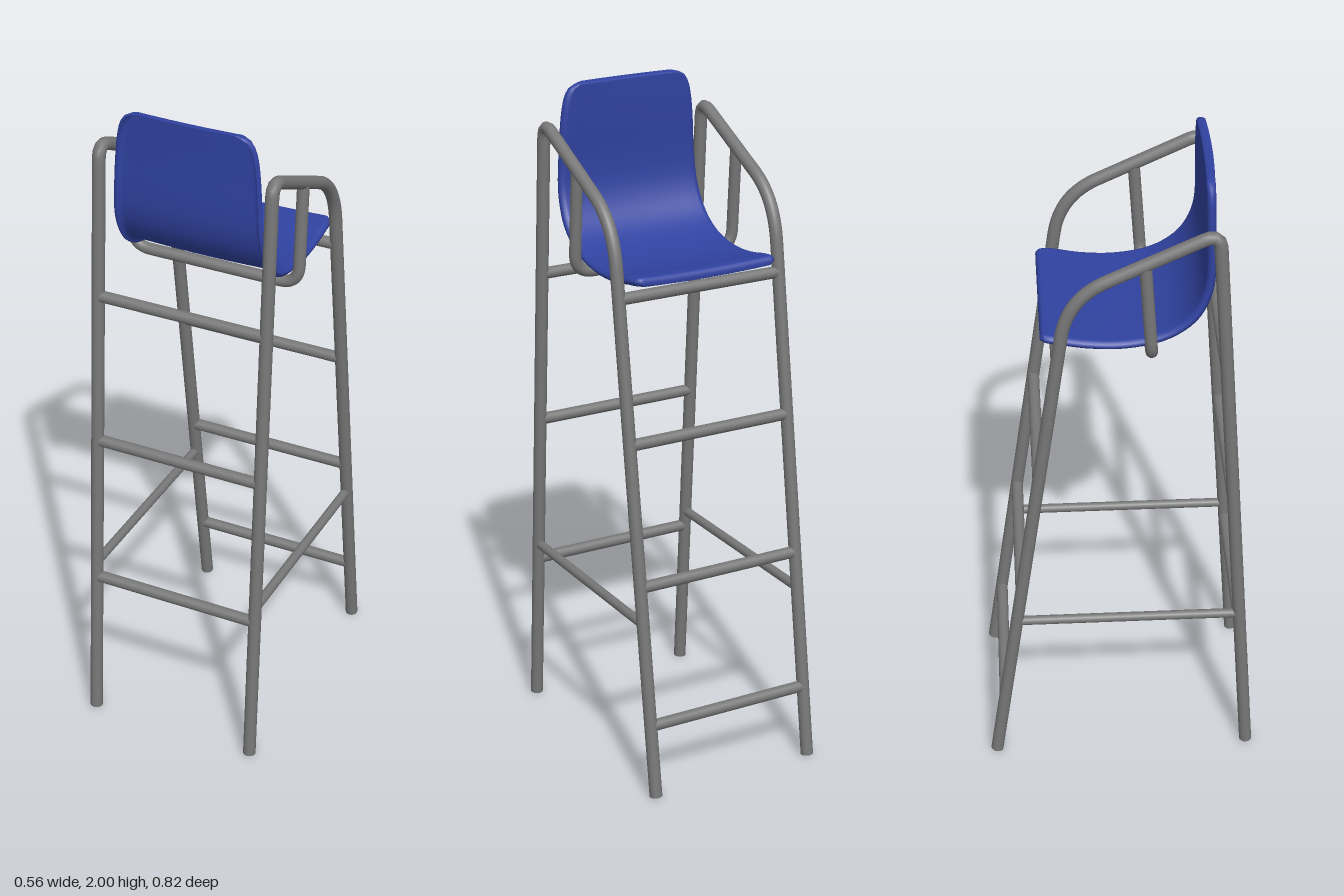
import * as THREE from 'three';

const V = (x, y, z) => new THREE.Vector3(x, y, z);
const steel = new THREE.MeshStandardMaterial({ color: 0x777777 });
const plastic = new THREE.MeshStandardMaterial({ color: 0x3042a0, side: THREE.DoubleSide });

const SIDE_X = 0.263;
const frontLegZ = y => -0.389 + 0.1405 * y;
const backLegZ = y => 0.389 - 0.066 * y;

function add(parent, name, geometry, material = steel) {
  const mesh = new THREE.Mesh(geometry, material);
  mesh.name = name;
  parent.add(mesh);
  return mesh;
}

// Straight round bar between two points
function bar(parent, name, a, b, radius) {
  const dir = b.clone().sub(a);
  const mesh = add(parent, name, new THREE.CylinderGeometry(radius, radius, dir.length(), 16));
  mesh.position.copy(a).add(b).multiplyScalar(0.5);
  mesh.quaternion.setFromUnitVectors(V(0, 1, 0), dir.normalize());
}

// Bent tube: straight runs joined by a curve at each inner corner [point, cutBefore, cutAfter]
function bentTube(parent, name, start, corners, end, radius, segments) {
  const path = new THREE.CurvePath();
  let from = start;
  corners.forEach(([p, before, after], i) => {
    const next = i + 1 < corners.length ? corners[i + 1][0] : end;
    const a = p.clone().add(from.clone().sub(p).setLength(before));
    const b = p.clone().add(next.clone().sub(p).setLength(after));
    path.add(new THREE.LineCurve3(from, a));
    path.add(new THREE.QuadraticBezierCurve3(a, p, b));
    from = b;
  });
  path.add(new THREE.LineCurve3(from, end));
  add(parent, name, new THREE.TubeGeometry(path, segments, radius, 16));
  // End discs
  for (const t of [0, 1]) {
    const cap = add(parent, name + 'End', new THREE.CircleGeometry(radius, 16));
    cap.position.copy(path.getPointAt(t));
    cap.quaternion.setFromUnitVectors(V(0, 0, 1), path.getTangentAt(t).multiplyScalar(t ? 1 : -1));
  }
}

// One-piece seat and back with a turned-over rim
function seatShellGeometry() {
  // Half width, y, z along the middle, from the top of the back to the front of the seat
  const profile = new THREE.CatmullRomCurve3([
    [0.155, 2.0, 0.231], [0.188, 1.988, 0.231], [0.204, 1.965, 0.231], [0.214, 1.925, 0.231],
    [0.221, 1.86, 0.232], [0.227, 1.75, 0.234], [0.230, 1.70, 0.231], [0.232, 1.655, 0.220],
    [0.234, 1.607, 0.196], [0.234, 1.57, 0.16], [0.234, 1.538, 0.10], [0.234, 1.521, 0],
    [0.234, 1.527, -0.10], [0.234, 1.541, -0.17], [0.231, 1.546, -0.208], [0.215, 1.546, -0.226],
  ].map(p => V(...p)), false, 'centripetal');
  const length = profile.getLength();
  const thick = 0.008, rimRadius = 0.02, rimDrop = 0.017;
  const rim = [0, 0.0008, 0.003, 0.007, 0.013, 0.02];
  const drop = e => {
    const k = Math.max(0, 1 - e / rimRadius);
    return rimDrop * (1 - Math.sqrt(1 - k * k));
  };

  // Stations bunched at the rims, even in between
  const stations = (size, inner) => {
    const out = [...rim];
    for (let i = 1; i < inner; i++) out.push(0.02 + (size - 0.04) * i / inner);
    return out.concat([...rim].reverse().map(e => size - e));
  };
  const along = stations(length, 44);
  const across = stations(0.47, 12);
  const n = across.length, ring = 2 * n;
  const pos = [], index = [];

  for (const s of along) {
    const t = s / length;
    const p = profile.getPointAt(t);
    const T = profile.getTangentAt(t).setX(0).normalize();
    const N = V(0, -T.z, T.y);
    const endEdge = Math.min(s, length - s);
    for (const layer of [0, 1]) {
      for (let j = 0; j < n; j++) {
        const v = across[layer ? n - 1 - j : j];
        const sideEdge = Math.min(v, 0.47 - v);
        const u = (v / 0.47) * 2 - 1;
        const hollow = 0.005 * (1 - u * u);
        const off = -Math.max(drop(endEdge), drop(sideEdge)) - hollow - layer * thick;
        pos.push(u * (p.x - layer * thick), p.y + N.y * off, p.z + N.z * off);
      }
    }
  }
  const quad = (a, b, c, d) => index.push(a, b, c, b, d, c);
  for (let i = 0; i < along.length - 1; i++)
    for (let j = 0; j < ring; j++) {
      const k = (j + 1) % ring;
      quad(i * ring + j, i * ring + k, (i + 1) * ring + j, (i + 1) * ring + k);
    }
  // Close the two ends
  const last = (along.length - 1) * ring;
  for (let j = 0; j < n - 1; j++) {
    const o = ring - 1 - j;
    quad(o, o - 1, j, j + 1);
    quad(last + j, last + j + 1, last + o, last + o - 1);
  }
  const g = new THREE.BufferGeometry();
  g.setAttribute('position', new THREE.Float32BufferAttribute(pos, 3));
  g.setIndex(index);
  g.computeVertexNormals();
  return g;
}

export function createModel() {
  const model = new THREE.Group();
  model.name = 'highChair';

  // Side frames: back leg, sloping armrest and front leg bent from one tube
  for (const side of [-1, 1]) {
    const frame = new THREE.Group();
    frame.name = side > 0 ? 'leftFrame' : 'rightFrame';
    model.add(frame);
    const x = side * SIDE_X;
    bentTube(frame, 'legAndArmrest', V(x, 0.003, backLegZ(0)), [
      [V(x, 1.893, 0.264), 0.05, 0.05],
      [V(x, 1.695, -0.151), 0.12, 0.13],
    ], V(x, 0.003, frontLegZ(0)), 0.019, 260);
    bar(frame, 'sideBrace', V(x, 0.53, backLegZ(0.53)), V(x, 0.53, frontLegZ(0.53)), 0.014);
  }

  // Ladder rungs
  const rung = (name, y, z) => bar(model, name, V(-SIDE_X, y, z), V(SIDE_X, y, z), 0.0175);
  for (const y of [0.22, 0.64, 1.06, 1.48]) rung('frontRung', y, frontLegZ(y));
  for (const y of [0.48, 0.953, 1.425]) rung('backRung', y, backLegZ(y));

  // U-shaped bar hanging from the armrests and carrying the seat
  bentTube(model, 'seatSupport', V(-SIDE_X, 1.79, 0.063), [
    [V(-SIDE_X, 1.484, 0.084), 0.06, 0.06],
    [V(SIDE_X, 1.484, 0.084), 0.06, 0.06],
  ], V(SIDE_X, 1.79, 0.063), 0.0175, 120);

  add(model, 'seatShell', seatShellGeometry(), plastic);
  return model;
}
